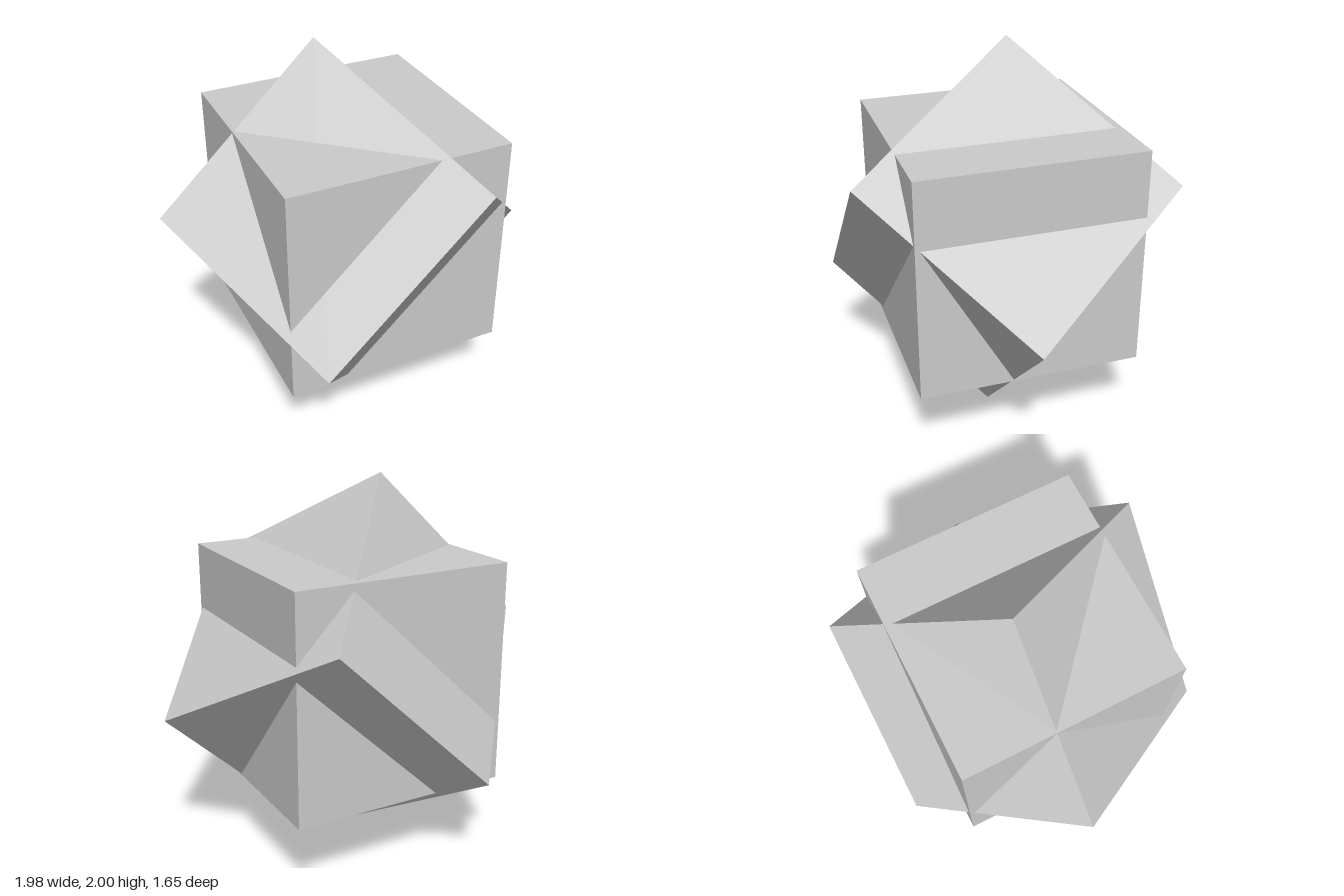
import * as THREE from 'three';

// Two equal cubes sharing one centre, one upright and one tilted through it
export function createModel() {
  const group = new THREE.Group();
  group.name = 'cubeCompound';
  const size = 1.172;
  const material = new THREE.MeshStandardMaterial({ color: 0xcccccc, flatShading: true });
  const geometry = new THREE.BoxGeometry(size, size, size);

  const addCube = (name, tiltX, turnZ) => {
    const cube = new THREE.Mesh(geometry, material);
    cube.name = name;
    cube.position.y = 1;
    // Tilt about the cube's own x axis, then turn about z
    cube.rotation.set(
      THREE.MathUtils.degToRad(tiltX), 0, THREE.MathUtils.degToRad(turnZ), 'ZXY');
    group.add(cube);
  };

  addCube('uprightCube', 0, 0);
  addCube('tiltedCube', -51.9, 43.6);
  return group;
}
